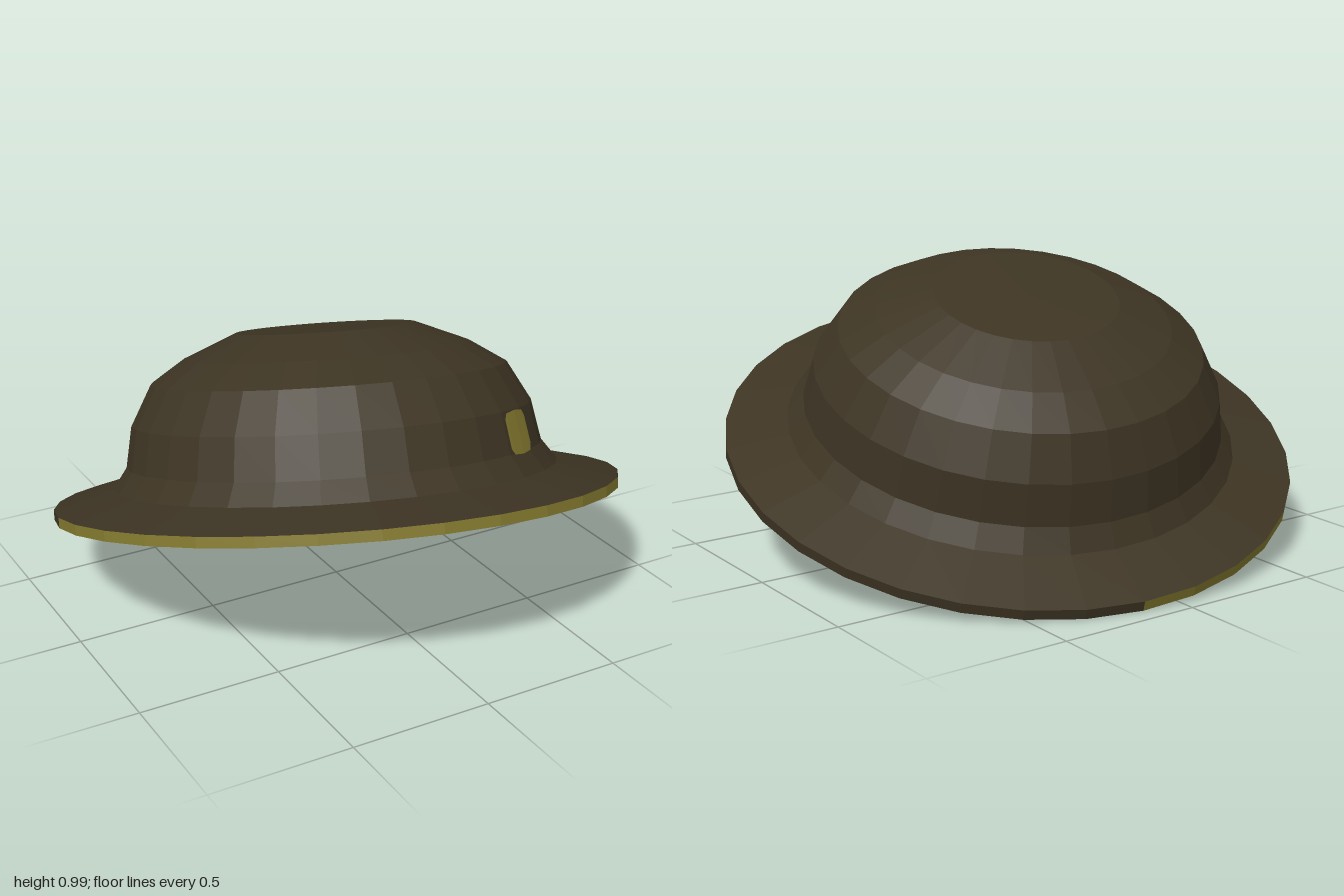
import * as THREE from 'three';

const SIDES = 32;
const STEP = (Math.PI * 2) / SIDES;
const PHASE = THREE.MathUtils.degToRad(2.7);

export function createModel() {
  const brown = new THREE.MeshStandardMaterial({ color: 0x3d3423, flatShading: true });
  brown.name = 'dark brown';
  const gold = new THREE.MeshStandardMaterial({ color: 0x80762d, flatShading: true });
  gold.name = 'tarnished gold';

  const hat = new THREE.Group();
  hat.name = 'hat';

  // Revolves [radius, height] points around the hat's axis, from one side to another
  function addLathe(name, profile, material, first = 0, count = SIDES) {
    const points = profile.map(([r, h]) => new THREE.Vector2(r, h));
    const geometry = new THREE.LatheGeometry(points, count, PHASE + first * STEP, count * STEP);
    const mesh = new THREE.Mesh(geometry, material);
    mesh.name = name;
    hat.add(mesh);
  }

  // Domed crown with a tapered hollow inside
  addLathe('crown', [
    [0.79, 0.09], [0.738, 0.162], [0.71, 0.306], [0.632, 0.446],
    [0.51, 0.525], [0.32, 0.604], [0, 0.608],
  ], brown);
  addLathe('crownLining', [[0, 0.368], [0.45, 0.365], [0.72, 0.05]], brown);

  // Brim
  addLathe('brimTop', [[1.003, 0.036], [0.79, 0.09]], brown);
  addLathe('brimUnderside', [[0.72, 0.05], [1.003, 0]], brown);

  // Brim edge: gold trim at the front and back, bare between
  const edge = [[1.003, 0], [1.003, 0.036]];
  addLathe('frontTrim', edge, gold, -9, 13);
  addLathe('leftBareEdge', edge, brown, 4, 11);
  addLathe('backTrim', edge, gold, 15, 5);
  addLathe('rightBareEdge', edge, brown, 20, 3);

  // Patch with clipped corners, folded around the crown
  const deg = THREE.MathUtils.degToRad;
  const columns = [[25.6, 0.182, 0.28], [26.8, 0.162, 0.3], [31.4, 0.157, 0.305],
    [36, 0.162, 0.3], [37.2, 0.182, 0.28]];
  const positions = [];
  const indices = [];
  columns.forEach(([angle, low, high], i) => {
    for (const h of [low, high]) {
      const r = 0.746 - (h - 0.16) * 0.195;
      positions.push(r * Math.sin(deg(angle)), h, r * Math.cos(deg(angle)));
    }
    if (i > 0) {
      const a = (i - 1) * 2;
      indices.push(a, a + 2, a + 1, a + 1, a + 2, a + 3);
    }
  });
  const patchGeometry = new THREE.BufferGeometry();
  patchGeometry.setAttribute('position', new THREE.Float32BufferAttribute(positions, 3));
  patchGeometry.setIndex(indices);
  patchGeometry.computeVertexNormals();
  const patch = new THREE.Mesh(patchGeometry, gold);
  patch.name = 'patch';
  hat.add(patch);

  // Rest the hat on the low back edge of its brim
  hat.rotation.set(deg(-17.6), 0, deg(-5.3));
  hat.position.set(0, 0.316, 0.004);

  const model = new THREE.Group();
  model.name = 'tiltedHat';
  model.add(hat);
  return model;
}
